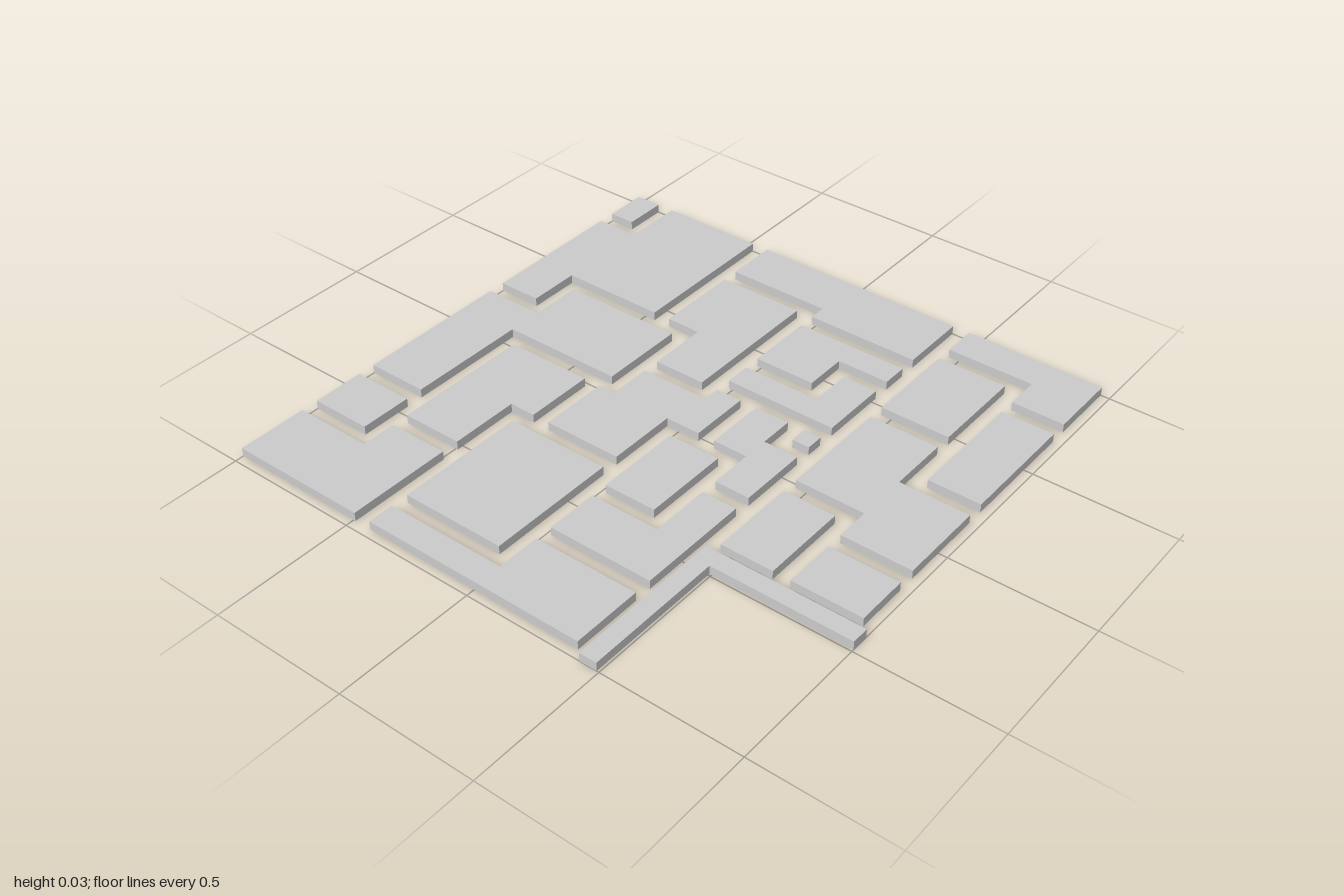
import * as THREE from 'three';

// The plan lies on a square grid of 63 cells; every slab is one cell thick.
const CELL = 2 / 63;
const toWorld = (n) => n * CELL - 1;

// Each outline is x0, z0, x1, z1, ... in cells: edges alternate along x then z.
const BLOCKS = {
  backBlock: [
    [1, 0, 9, 9, 13, 16],
    [11, 0, 17, 7],
    [19, 0, 37, 7, 43, 21, 33, 7],
    [39, 0, 56, 5, 63, 17, 45, 5],
    [58, 0, 63, 3],
    [15, 9, 31, 19, 23, 16],
  ],
  middleBlock: [
    [1, 18, 4, 32, 9, 44],
    [6, 18, 21, 30],
    [23, 21, 31, 23, 36, 31, 38, 34, 31, 30],
    [45, 19, 55, 29, 38, 23],
    [57, 19, 63, 44, 55, 31],
    [11, 32, 17, 40, 24, 44],
    [19, 32, 29, 38],
    [31, 36, 38, 40, 34, 44, 26, 40],
    [36, 42, 38, 44],
    [40, 31, 43, 40, 48, 44],
    [45, 31, 53, 44, 50, 38],
  ],
  frontBlock: [
    [19, 46, 29, 52],
    [19, 54, 25, 62],
    [31, 46, 44, 54, 37, 62, 27, 54],
    [46, 46, 57, 54],
    [39, 56, 53, 62],
    [59, 46, 63, 62, 55, 56],
  ],
  cornerWall: [[0, 45, 18, 63, 16, 47]],
};

// Right-angled slab from its alternating outline
function slabGeometry(path) {
  const points = [];
  for (let k = 0; k < path.length; k += 2) {
    const z = -toWorld(path[k + 1]);
    points.push(new THREE.Vector2(toWorld(path[k]), z));
    points.push(new THREE.Vector2(toWorld(path[(k + 2) % path.length]), z));
  }
  const geometry = new THREE.ExtrudeGeometry(new THREE.Shape(points), {
    depth: CELL,
    bevelEnabled: false,
  });
  return geometry.rotateX(-Math.PI / 2);
}

export function createModel() {
  const model = new THREE.Group();
  model.name = 'blockPlan';
  const material = new THREE.MeshStandardMaterial({ color: 0xcccccc });

  for (const [name, outlines] of Object.entries(BLOCKS)) {
    outlines.forEach((path, i) => {
      const slab = new THREE.Mesh(slabGeometry(path), material);
      slab.name = outlines.length > 1 ? `${name}${i + 1}` : name;
      model.add(slab);
    });
  }
  return model;
}
